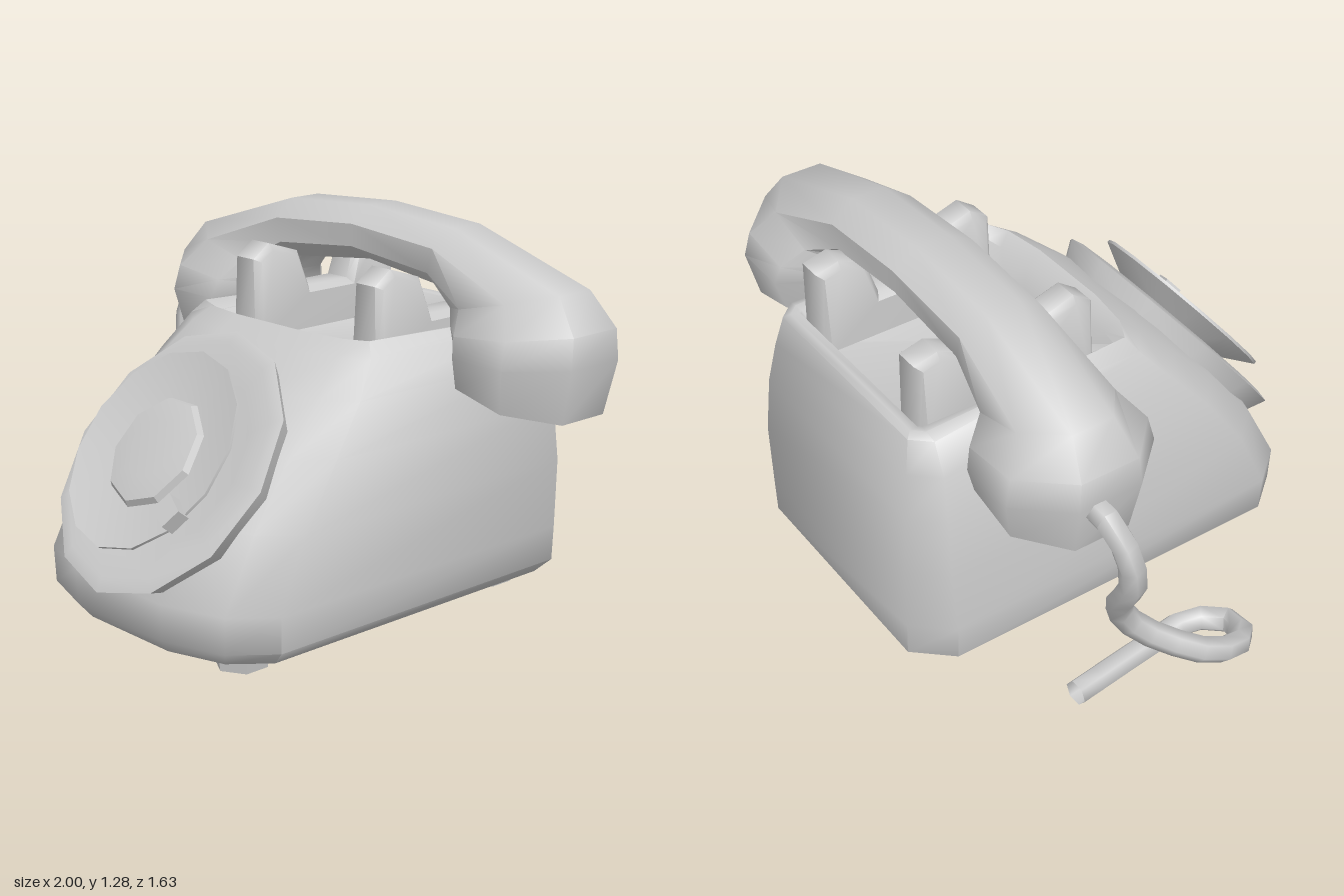
import * as THREE from 'three';
import { toCreasedNormals } from 'three/addons/utils/BufferGeometryUtils.js';

const MID = 0.085; // centre line of the body
const material = new THREE.MeshStandardMaterial({ color: 0xcccccc, side: THREE.DoubleSide });

function part(name, geometry, crease = 1.0) {
  const mesh = new THREE.Mesh(toCreasedNormals(geometry, crease), material);
  mesh.name = name;
  return mesh;
}

// Skin a list of equal-length rings and close both ends with fans.
function loft(rings) {
  const n = rings[0].length, pos = [], idx = [];
  rings.forEach(r => r.forEach(p => pos.push(...p)));
  for (let i = 0; i < rings.length - 1; i++) {
    for (let j = 0; j < n; j++) {
      const a = i * n + j, b = i * n + (j + 1) % n;
      idx.push(a, b, b + n, a, b + n, a + n);
    }
  }
  [0, rings.length - 1].forEach(k => {
    const c = pos.length / 3;
    pos.push(...[0, 1, 2].map(d => rings[k].reduce((s, p) => s + p[d], 0) / n));
    for (let j = 0; j < n; j++) {
      const a = k * n + j, b = k * n + (j + 1) % n;
      idx.push(c, ...(k ? [a, b] : [b, a]));
    }
  });
  const g = new THREE.BufferGeometry();
  g.setAttribute('position', new THREE.Float32BufferAttribute(pos, 3));
  g.setIndex(idx);
  return g;
}

// Horizontal body section with a bowed front and cut corners.
function bodyRing([y, w, front, back, cut, lip = 0]) {
  const half = [
    [w * 0.4, front], [w * 0.8, front - cut * 0.35], [w, front - cut],
    [w, back + cut * 0.6], [w - cut * 0.55, back],
  ];
  const all = [...half, ...half.slice().reverse().map(([x, z]) => [-x, z])];
  return all.map(([x, z]) => [MID + x, y + (z > -0.1 ? lip : 0), z]);
}

function makeBody() {
  // height, half width, front, back, corner cut, front lip
  const sections = [
    [0.05, 0.48, 0.69, -0.78, 0.18],
    [0.10, 0.53, 0.73, -0.82, 0.2],
    [0.22, 0.535, 0.735, -0.82, 0.2],
    [0.45, 0.53, 0.61, -0.82, 0.18],
    [0.65, 0.51, 0.45, -0.80, 0.16],
    [0.80, 0.475, 0.30, -0.775, 0.14],
    [0.91, 0.43, 0.17, -0.75, 0.1],
    [0.925, 0.39, 0.10, -0.73, 0.06, 0.03],
    [0.92, 0.36, 0.04, -0.70, 0.02],
    [0.84, 0.27, 0.00, -0.67, 0.02],
  ];
  return part('body', loft(sections.map(bodyRing)), 0.95);
}

function makeHandset() {
  // outer x, y, inner x, y (from the centre line), half depth
  const half = [
    [0.88, 0.72, 0.43, 0.83, 0.235],
    [0.92, 0.90, 0.43, 0.90, 0.265],
    [0.915, 1.0, 0.41, 0.95, 0.245],
    [0.83, 1.11, 0.38, 1.0, 0.175],
    [0.38, 1.255, 0.33, 1.06, 0.145],
    [0, 1.28, 0, 1.10, 0.145],
  ];
  const mirrored = half.slice(0, -1).reverse().map(([a, b, c, d, e]) => [-a, b, -c, d, e]);
  const grow = 1 / Math.cos(Math.PI / 8);
  const rings = [...half, ...mirrored].map(([ox, oy, ix, iy, hw]) =>
    Array.from({ length: 8 }, (_, j) => {
      const t = (j + 0.5) * Math.PI / 4;
      const c = Math.cos(t) * grow / 2, s = Math.sin(t) * grow;
      return [MID - 0.007 + (ox + ix) / 2 + (ox - ix) * c, (oy + iy) / 2 + (oy - iy) * c, -0.41 - hw * s];
    }));
  return part('handset', loft(rings), 0.95);
}

function makeDial() {
  const dial = new THREE.Group();
  dial.name = 'dial';
  const lathe = (name, pts, sides) => {
    const g = new THREE.LatheGeometry(pts.map(p => new THREE.Vector2(...p)), sides);
    dial.add(part(name, g, 0.5));
  };
  lathe('dialRing', [[0.41, -0.11], [0.465, 0], [0.42, 0.01], [0.32, -0.01], [0.0, 0.0]], 12);
  lathe('fingerWheel', [[0.2, 0.0], [0.345, 0.075], [0.345, 0.085], [0.2, 0.055], [0.0, 0.05]], 14);
  lathe('dialHub', [[0.195, 0.05], [0.18, 0.075], [0.1, 0.085], [0, 0.08]], 9);
  const stop = part('fingerStop', new THREE.BoxGeometry(0.09, 0.05, 0.07));
  stop.position.set(0.25, 0.095, 0.17);
  stop.rotation.y = -0.5;
  dial.add(stop);
  dial.scale.x = 0.93;
  dial.position.set(MID, 0.583, 0.525);
  dial.rotation.x = 0.9;
  return dial;
}

// U-shaped cradle rail with a raised prong at each end.
function makeRail(side) {
  const shape = new THREE.Shape([
    [0.07, 0.84], [0.07, 1.09], [0.12, 1.125], [0.23, 1.09], [0.28, 0.96],
    [0.49, 0.96], [0.53, 1.09], [0.61, 1.125], [0.67, 1.11], [0.67, 0.84],
  ].map(p => new THREE.Vector2(...p)));
  const g = new THREE.ExtrudeGeometry(shape, {
    depth: 0.08, bevelEnabled: true, bevelSize: 0.02, bevelThickness: 0.02, bevelSegments: 1,
  });
  g.translate(0, 0, -0.04);
  g.rotateY(Math.PI / 2); // profile runs towards the back
  // widen the foot of the rail
  const p = g.attributes.position;
  for (let i = 0; i < p.count; i++) {
    p.setX(i, p.getX(i) * (1 + Math.max(0, 1.12 - p.getY(i)) * 0.9));
  }
  const rail = part('cradleRail', g, 0.8);
  rail.position.x = MID - 0.005 + side * 0.285;
  return rail;
}

function makeCord() {
  const path = new THREE.CatmullRomCurve3([
    [-0.80, 0.87, -0.45], [-0.91, 0.86, -0.45], [-0.955, 0.74, -0.42], [-0.94, 0.62, -0.40],
    [-0.86, 0.50, -0.38], [-0.82, 0.40, -0.35], [-0.84, 0.29, -0.27], [-0.945, 0.19, -0.1],
    [-0.93, 0.13, 0.04], [-0.82, 0.085, 0.12], [-0.715, 0.07, 0.02], [-0.72, 0.065, -0.12],
    [-0.76, 0.065, -0.47],
  ].map(p => new THREE.Vector3(...p)));
  return part('cord', new THREE.TubeGeometry(path, 22, 0.043, 6), 1.2);
}

export function createModel() {
  const model = new THREE.Group();
  model.name = 'telephone';
  model.add(makeBody(), makeHandset(), makeDial(), makeCord());
  for (const side of [-1, 1]) {
    model.add(makeRail(side));
    // feet at the front and back
    for (const z of [0.51, -0.6]) {
      const foot = part('foot', new THREE.CylinderGeometry(0.095, 0.085, 0.06, 6), 0.5);
      foot.position.set(MID + side * 0.325, 0.03, z);
      model.add(foot);
    }
  }
  return model;
}
